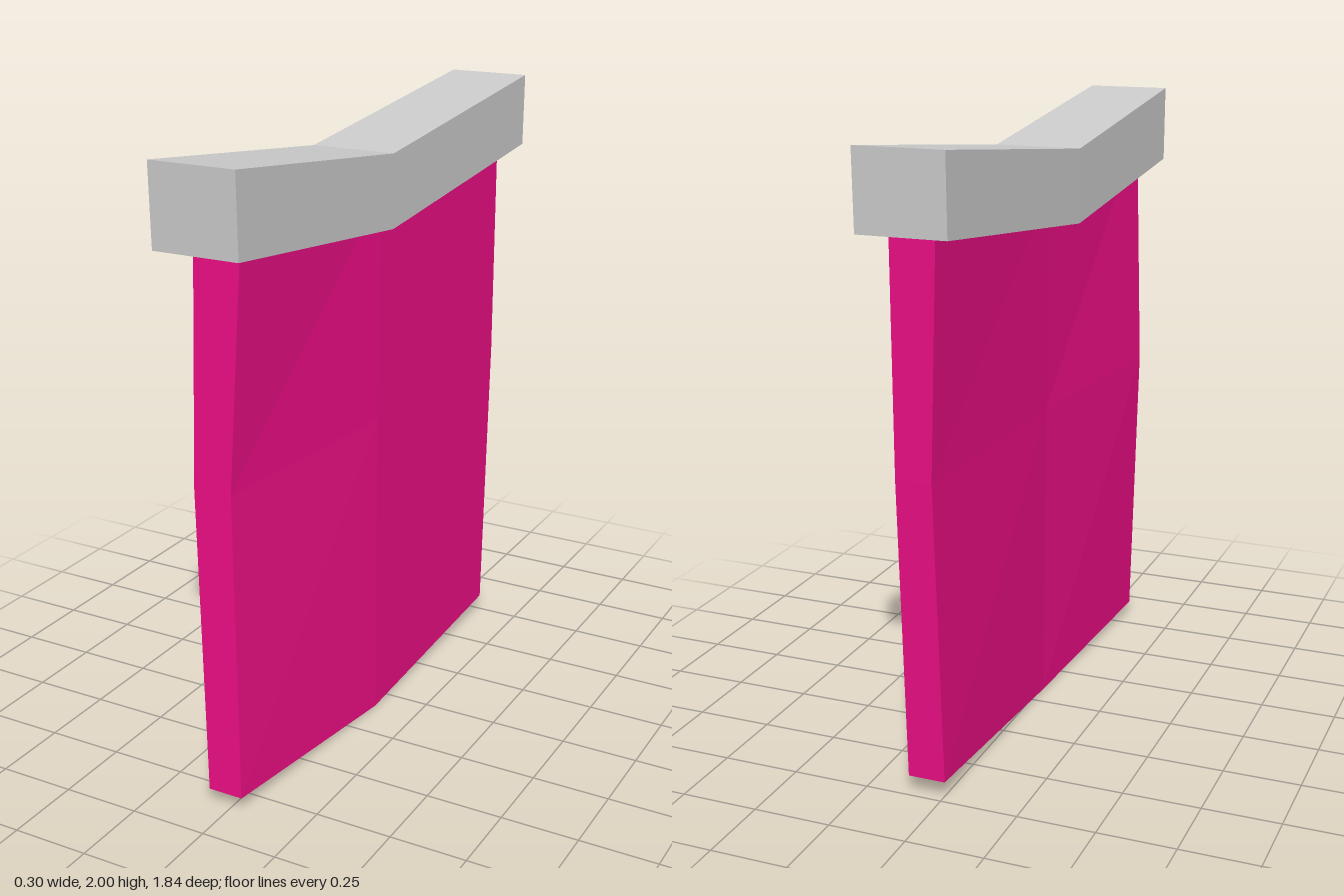
import * as THREE from 'three';

// Bends a segmented box: rows[r][s] = [z, y, xRight, xLeft],
// r running from bottom to top, s from the back end to the front end.
function bentSlab(name, rows, color) {
  const nr = rows.length - 1;
  const ns = rows[0].length - 1;
  const geo = new THREE.BoxGeometry(1, 1, 1, 1, nr, ns);
  const p = geo.attributes.position;
  for (let i = 0; i < p.count; i++) {
    const r = Math.round((p.getY(i) + 0.5) * nr);
    const s = Math.round((p.getZ(i) + 0.5) * ns);
    const [z, y, x0, x1] = rows[r][s];
    p.setXYZ(i, p.getX(i) < 0 ? x0 : x1, y, z);
  }
  geo.computeVertexNormals();
  const mesh = new THREE.Mesh(geo, new THREE.MeshStandardMaterial({ color, flatShading: true }));
  mesh.name = name;
  return mesh;
}

export function createModel() {
  const model = new THREE.Group();
  model.name = 'hangingBanner';

  // Crossbar, sagging to a shallow V in the middle
  model.add(bentSlab('crossbar', [
    [[-0.915, 1.76, -0.125, 0.15], [0.04, 1.655, -0.148, 0.132], [0.915, 1.75, -0.152, 0.125]],
    [[-0.92, 2.0, -0.125, 0.15], [0.04, 1.89, -0.148, 0.132], [0.92, 2.0, -0.152, 0.125]],
  ], 0xcccccc));

  // Thick cloth with a gentle twist, its top edge tucked into the crossbar
  model.add(bentSlab('cloth', [
    [[-0.74, 0.06, -0.01, 0.11], [0.09, 0.0, -0.01, 0.1], [0.845, 0.045, -0.075, 0.04]],
    [[-0.795, 1.03, -0.01, 0.105], [0.06, 1.03, -0.03, 0.09], [0.825, 1.03, -0.105, 0.02]],
    [[-0.81, 1.86, -0.045, 0.1], [0.04, 1.77, -0.05, 0.09], [0.81, 1.86, -0.085, 0.07]],
  ], 0xec0e84));

  return model;
}
